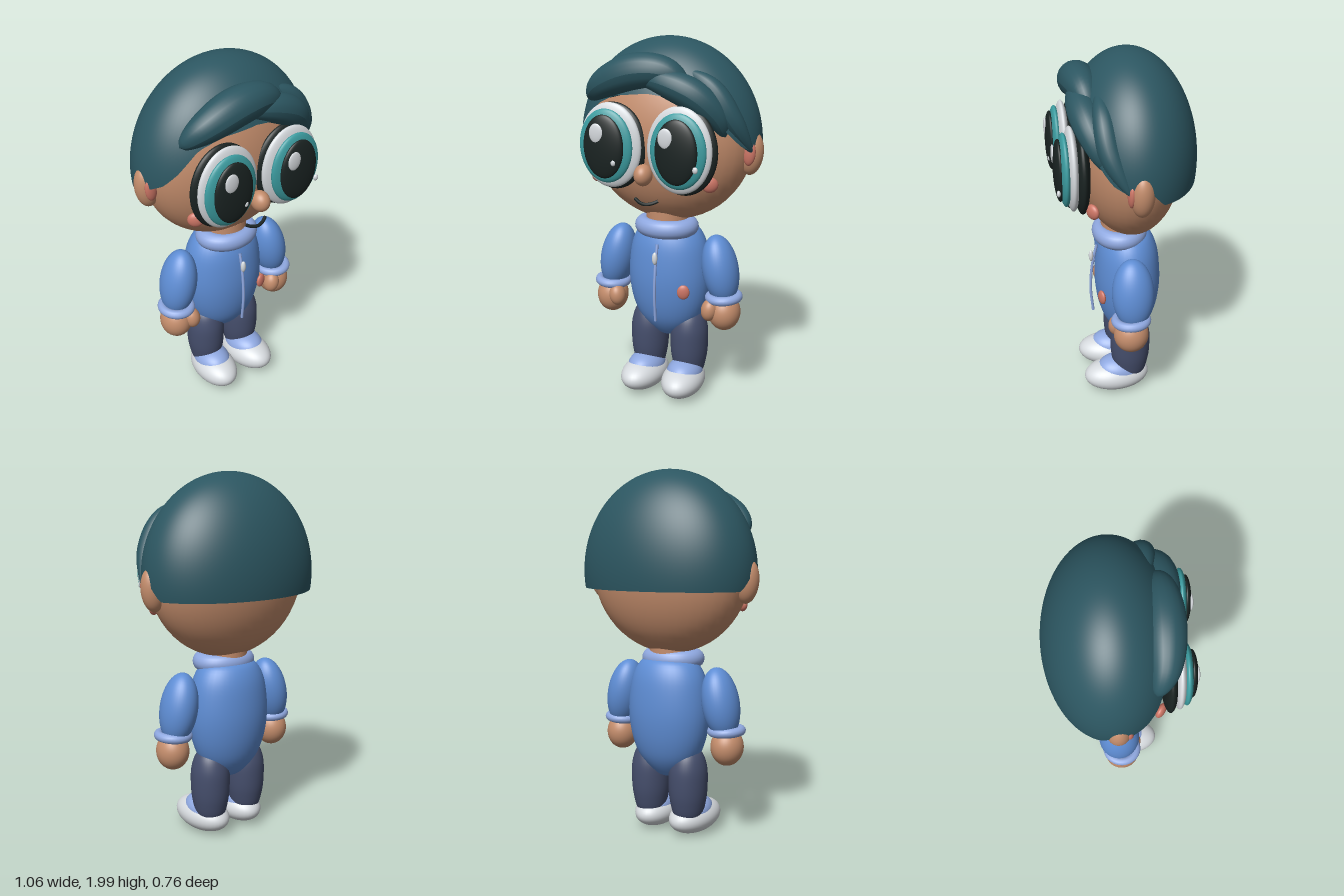
import * as THREE from 'three';

const mat = (name, color) => {
  const m = new THREE.MeshStandardMaterial({ color });
  m.name = name;
  return m;
};

export function createModel() {
  const skin = mat('skin', 0xc48d6c);
  const hair = mat('hair', 0x2c5661);
  hair.side = THREE.DoubleSide;
  const blue = mat('jacket blue', 0x5e8dd4);
  const trim = mat('trim blue', 0x8fa8e0);
  const navy = mat('trouser navy', 0x454e6c);
  const white = mat('white', 0xd6dade);
  const black = mat('black', 0x1a2322);
  const teal = mat('teal', 0x3c9da1);
  const pink = mat('pink', 0xcc7565);

  const root = new THREE.Group();
  const V = (p) => new THREE.Vector3(...p);
  const add = (name, geo, m, pos = [0, 0, 0], rot = [0, 0, 0], scale = [1, 1, 1], parent = root) => {
    const mesh = new THREE.Mesh(geo, m);
    mesh.name = name;
    mesh.position.set(...pos);
    mesh.rotation.set(...rot);
    mesh.scale.set(...scale);
    parent.add(mesh);
    return mesh;
  };
  const ball = new THREE.SphereGeometry(1, 40, 28);
  const blob = (name, m, pos, radii, rot) => add(name, ball, m, pos, rot, radii);
  const tube = (name, m, pts, r) =>
    add(name, new THREE.TubeGeometry(new THREE.CatmullRomCurve3(pts.map(V)), 32, r, 10), m);
  // Smooth body of revolution through [radius, y] points
  const lathe = (pts) => {
    const curve = new THREE.SplineCurve(pts.map((p) => new THREE.Vector2(...p)));
    const fine = curve.getPoints(36).map((p) => new THREE.Vector2(Math.max(p.x, 0), p.y));
    return new THREE.LatheGeometry(fine, 40);
  };
  // Tube that swells in the middle and closes to a point at both ends
  const lock = (name, pts, r, power) => {
    const n = 40, sides = 20;
    const curve = new THREE.CatmullRomCurve3(pts.map(V));
    const geo = new THREE.TubeGeometry(curve, n, 1, sides);
    const p = geo.attributes.position, v = new THREE.Vector3();
    for (let i = 0; i <= n; i++) {
      const c = curve.getPointAt(i / n);
      const k = r * Math.pow(Math.max(Math.sin((Math.PI * i) / n), 1e-4), power);
      for (let j = 0; j <= sides; j++) {
        const q = i * (sides + 1) + j;
        v.fromBufferAttribute(p, q).sub(c).multiplyScalar(k).add(c);
        p.setXYZ(q, v.x, v.y, v.z);
      }
    }
    geo.computeVertexNormals();
    add(name, geo, hair);
  };

  // Head, neck and nose
  blob('head', skin, [0, 1.48, -0.03], [0.47, 0.46, 0.28]);
  add('neck', new THREE.CylinderGeometry(0.12, 0.12, 0.16, 32), skin, [0, 1.0, -0.01]);
  blob('nose', skin, [0, 1.325, 0.3], [0.047, 0.056, 0.056]);
  tube('mouth', black, [[-0.065, 1.187, 0.262], [-0.035, 1.174, 0.277], [0, 1.168, 0.284],
    [0.035, 1.174, 0.277], [0.065, 1.187, 0.262]], 0.009);

  // Hair cap: ellipsoid whose lower edge follows the hairline [angle from front, y]
  const hairline = [[0, 1.73], [25, 1.71], [40, 1.66], [53, 1.54], [63, 1.475], [78, 1.43], [84, 1.45],
    [94, 1.44], [104, 1.37], [180, 1.37]];
  const edgeY = (deg) => {
    let i = 0;
    while (i < hairline.length - 2 && deg > hairline[i + 1][0]) i++;
    const [a, ya] = hairline[i], [b, yb] = hairline[i + 1];
    return ya + ((yb - ya) * (deg - a)) / (b - a);
  };
  const cap = new THREE.SphereGeometry(1, 96, 32);
  const cp = cap.attributes.position, uv = cap.attributes.uv;
  for (let i = 0; i < cp.count; i++) {
    const row = Math.floor(i / 97), col = i % 97;
    const a = -Math.PI + (2 * Math.PI * col) / 96;
    const h = (edgeY(Math.abs(THREE.MathUtils.radToDeg(a))) - 1.46) / 0.54;
    const t = (Math.acos(h) * row) / 32;
    cp.setXYZ(i, 0.507 * Math.sin(t) * Math.sin(a), 0.54 * Math.cos(t), 0.345 * Math.sin(t) * Math.cos(a));
    // Ellipsoid normal
    const n = new THREE.Vector3(cp.getX(i) / 0.257, cp.getY(i) / 0.2916, cp.getZ(i) / 0.119).normalize();
    cap.attributes.normal.setXYZ(i, n.x, n.y, n.z);
  }
  // Drop the sphere's open bottom handling: every row is a full quad strip
  const idx = [];
  for (let r = 0; r < 32; r++) for (let c = 0; c < 96; c++) {
    const a = r * 97 + c, b = a + 97;
    idx.push(a, b, a + 1, b, b + 1, a + 1);
  }
  cap.setIndex(idx);
  add('hairCap', cap, hair, [0, 1.46, -0.04]);

  // Fringe
  lock('fringeRight', [[-0.38, 1.68, 0.16], [-0.27, 1.76, 0.2], [-0.08, 1.83, 0.21], [0.08, 1.83, 0.2],
    [0.2, 1.76, 0.18]], 0.096, 0.5);
  lock('fringeLeft', [[-0.07, 1.8, 0.22], [0.08, 1.785, 0.225], [0.24, 1.72, 0.205], [0.34, 1.62, 0.17],
    [0.38, 1.52, 0.14]], 0.08, 0.55);
  lock('sideLock', [[0.15, 1.85, 0.14], [0.3, 1.76, 0.14], [0.4, 1.61, 0.12], [0.49, 1.43, 0.04]], 0.06, 0.7);

  for (const s of [1, -1]) {
    const side = s > 0 ? 'Left' : 'Right';

    // Eyes, layered from rim to highlights
    blob('eyeRim' + side, black, [s * 0.195, 1.452, 0.24], [0.185, 0.227, 0.045]);
    blob('eyeWhite' + side, white, [s * 0.192, 1.462, 0.285], [0.175, 0.22, 0.04]);
    blob('iris' + side, teal, [s * 0.2, 1.463, 0.32], [0.15, 0.19, 0.036]);
    blob('pupil' + side, black, [s * 0.2, 1.463, 0.347], [0.113, 0.163, 0.029]);
    blob('shineLarge' + side, white, [s * 0.19 - 0.038, 1.533, 0.37], [0.039, 0.05, 0.01]);
    blob('shineSmall' + side, white, [s * 0.223 + 0.085, 1.388, 0.362], [0.014, 0.017, 0.01]);

    // Cheeks and ears
    blob('blush' + side, pink, [s * 0.325, 1.283, 0.2], [0.042, 0.04, 0.022], [0, s * 0.6, 0]);
    blob('ear' + side, skin, [s * 0.465, 1.418, -0.022], [0.063, 0.115, 0.06], [0, 0, -s * 0.1]);
    blob('innerEar' + side, pink, [s * 0.472, 1.425, 0.032], [0.032, 0.063, 0.02], [0, 0, -s * 0.1]);

    // Arms
    blob('sleeve' + side, blue, [s * 0.312, 0.765, -0.01], [0.098, 0.195, 0.113], [0, 0, s * 0.19]);
    add('cuff' + side, new THREE.TorusGeometry(0.078, 0.025, 14, 36), trim,
      [s * 0.34, 0.617, 0.005], [Math.PI / 2, s * 0.06, 0], [1, 1.05, 1]);
    blob('hand' + side, skin, [s * 0.345, 0.53, 0.005], [0.088, 0.103, 0.095]);
    blob('thumb' + side, skin, [s * 0.282, 0.553, 0.07], [0.046, 0.063, 0.05], [0, 0, -s * 0.15]);

    // Legs and shoes
    add('leg' + side, lathe([[0, 0.09], [0.07, 0.11], [0.098, 0.2], [0.107, 0.3], [0.102, 0.4], [0.07, 0.48],
      [0, 0.52]]), navy, [s * 0.123, 0, -0.032], [0, 0, 0], [1, 1, 1.06]);
    blob('shoeUpper' + side, trim, [s * 0.12, 0.132, 0.025], [0.1, 0.08, 0.135], [-0.12, s * 0.08, 0]);
    blob('shoe' + side, white, [s * 0.121, 0.096, 0.047], [0.117, 0.09, 0.19], [-0.03, s * 0.08, 0]);
  }

  // Torso and collar
  add('torso', lathe([[0, 0.325], [0.08, 0.346], [0.165, 0.43], [0.212, 0.53], [0.235, 0.65], [0.234, 0.77],
    [0.212, 0.89], [0.165, 0.97], [0.1, 1.0]]), blue, [0, 0, -0.035], [0, 0, 0], [1, 1, 0.77]);
  add('collar', new THREE.TorusGeometry(0.13, 0.05, 18, 48), trim, [0, 0.987, 0.008], [Math.PI / 2, 0, 0], [1, 0.84, 1]);

  // Zip, pull and badge
  tube('zip', trim, [[0, 0.91, 0.135], [0, 0.78, 0.162], [0, 0.63, 0.174], [0, 0.475, 0.162]], 0.008);
  blob('zipPull', white, [0, 0.838, 0.168], [0.015, 0.035, 0.013]);
  blob('badge', pink, [0.153, 0.656, 0.133], [0.034, 0.041, 0.016], [0, 0.35, 0]);

  return root;
}
